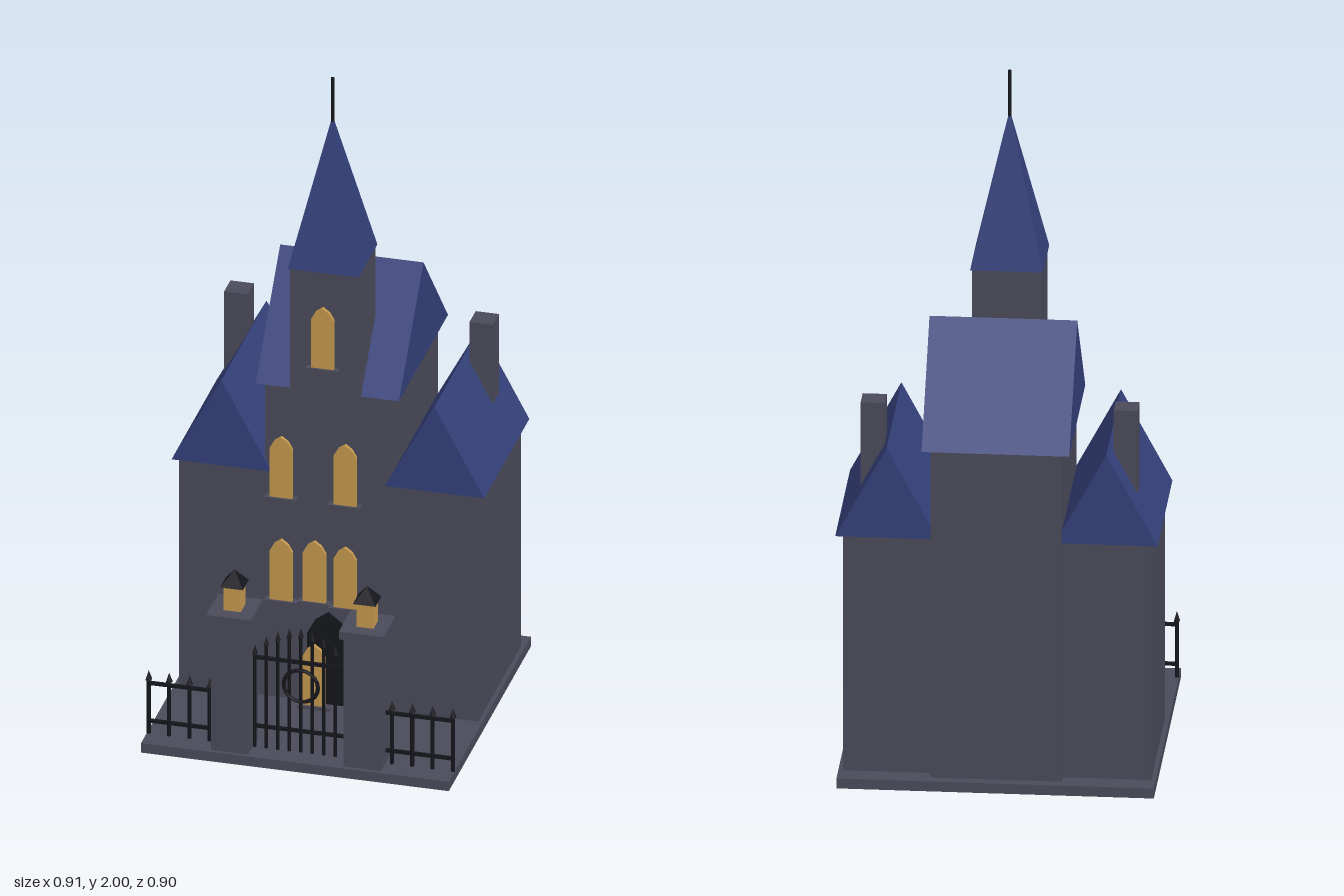
import * as THREE from 'three';

const material = (name, color) => {
  const m = new THREE.MeshStandardMaterial({ color });
  m.name = name;
  return m;
};

export function createModel() {
  const house = new THREE.Group();
  house.name = 'gothicHouse';
  const stone = material('slateStone', 0x4a4a5a);
  const roof = material('blueRoof', 0x34407a);
  const glow = material('amberGlass', 0xc4984e);
  const iron = material('blackIron', 0x15161c);

  const add = (name, geo, mat, parent = house) => {
    const mesh = new THREE.Mesh(geo, mat);
    mesh.name = name;
    parent.add(mesh);
    return mesh;
  };
  // Box given by its lower and upper limits on each axis
  const box = (name, mat, x0, x1, y0, y1, z0, z1, parent) =>
    add(name, new THREE.BoxGeometry(x1 - x0, y1 - y0, z1 - z0)
      .translate((x0 + x1) / 2, (y0 + y1) / 2, (z0 + z1) / 2), mat, parent);
  // Square pyramid with hard edges
  const pyramid = (name, mat, half, x, y0, y1, z, parent) => {
    const geo = new THREE.ConeGeometry(half * Math.SQRT2, y1 - y0, 4)
      .rotateY(Math.PI / 4).toNonIndexed();
    geo.computeVertexNormals();
    return add(name, geo.translate(x, (y0 + y1) / 2, z), mat, parent);
  };
  // Triangular roof whose ridge runs along z, centred on the origin
  const gable = (half, height, length) => {
    const s = new THREE.Shape([[-half, 0], [half, 0], [0, height]].map(p => new THREE.Vector2(...p)));
    return new THREE.ExtrudeGeometry(s, { depth: length, bevelEnabled: false }).translate(0, 0, -length / 2);
  };
  // Pointed arch panel standing on y = 0
  const arch = (half, height, depth) => {
    const pts = [[-half, 0], [half, 0], [half, height - half * 1.15], [half * 0.62, height - half * 0.45],
      [0, height], [-half * 0.62, height - half * 0.45], [-half, height - half * 1.15]];
    return new THREE.ExtrudeGeometry(new THREE.Shape(pts.map(p => new THREE.Vector2(...p))),
      { depth, bevelEnabled: false }).translate(0, 0, -depth / 2);
  };

  // Base and walls
  box('basePlate', stone, -0.448, 0.448, 0, 0.03, -0.45, 0.448);
  box('sideWings', stone, -0.435, 0.435, 0.03, 0.75, -0.387, 0.079);
  box('centralBlock', stone, -0.185, 0.185, 0.03, 1.03, -0.42, 0.08);

  // Central roof, ridge along x
  add('centralRoof', gable(0.268, 0.305, 0.417).rotateY(Math.PI / 2), roof).position.set(0, 1.027, -0.174);

  // Wing roofs and chimneys
  for (const s of [-1, 1]) {
    add('wingRoof', gable(0.145, 0.272, 0.493), roof).position.set(s * 0.31, 0.748, -0.159);
    const c = s * 0.357;
    box('chimney', stone, c - 0.034, c + 0.034, 0.78, 1.12, -0.315, -0.247);
  }

  // Tower, spire and finial
  box('tower', stone, -0.098, 0.098, 1.027, 1.43, -0.063, 0.135);
  pyramid('spire', roof, 0.103, 0, 1.43, 1.88, 0.036);
  add('spireFinial', new THREE.CylinderGeometry(0.005, 0.005, 0.14, 8), iron).position.set(0, 1.93, 0.036);

  // Lit windows with sills: x, bottom y, z
  const windows = [[0, 1.13, 0.143], [-0.093, 0.76, 0.247], [0.093, 0.76, 0.247],
    [-0.093, 0.433, 0.247], [0, 0.433, 0.233], [0.093, 0.433, 0.247], [0, 0.104, 0.236]];
  for (const [x, y, z] of windows) {
    const w = new THREE.Group();
    w.name = 'window';
    w.position.set(x, y, z);
    add('windowPane', arch(0.033, 0.192, 0.011), glow, w);
    box('windowSill', stone, -0.047, 0.047, -0.01, 0, -0.012, 0.012, w);
    house.add(w);
  }

  // Front door
  add('frontDoor', arch(0.06, 0.32, 0.012), iron).position.set(0, 0, 0.082);

  // Gate pillars with lanterns
  const zf = 0.383;
  for (const s of [-1, 1]) {
    const x = s * 0.193;
    box('gatePillar', stone, x - 0.054, x + 0.054, 0.03, 0.44, zf - 0.053, zf + 0.053);
    box('pillarCap', stone, x - 0.065, x + 0.065, 0.44, 0.465, zf - 0.066, zf + 0.066);
    box('lantern', glow, x - 0.025, x + 0.025, 0.465, 0.54, zf - 0.025, zf + 0.025);
    pyramid('lanternRoof', iron, 0.033, x, 0.54, 0.585, zf);
  }

  // Iron bar with a spear tip
  const bar = (name, x, top, r) => {
    const h = top - 0.025 - 0.03;
    add(name, new THREE.CylinderGeometry(r, r, h, 6), iron).position.set(x, 0.03 + h / 2, zf);
    add(name + 'Tip', new THREE.ConeGeometry(r * 1.9, 0.03, 4).rotateY(Math.PI / 4), iron)
      .position.set(x, top - 0.015, zf);
  };
  const rail = (name, x0, x1, y) => box(name, iron, x0, x1, y - 0.005, y + 0.005, zf - 0.004, zf + 0.004);

  // Gate: bars rise toward the middle, with a ring at the centre
  const tops = [0.425, 0.42, 0.405, 0.385, 0.355];
  for (let i = -4; i <= 4; i++) bar('gateBar', i * 0.0335, tops[Math.abs(i)], 0.005);
  for (const y of [0.097, 0.315]) rail('gateRail', -0.138, 0.138, y);
  add('gateRing', new THREE.TorusGeometry(0.05, 0.006, 6, 20), iron).position.set(0, 0.24, zf);

  // Side fences
  for (const s of [-1, 1]) {
    for (let i = 0; i < 4; i++) bar('fencePost', s * (0.265 + i * 0.0592), 0.23, 0.006);
    for (const y of [0.07, 0.19]) rail('fenceRail', Math.min(s * 0.247, s * 0.446), Math.max(s * 0.247, s * 0.446), y);
  }
  return house;
}
